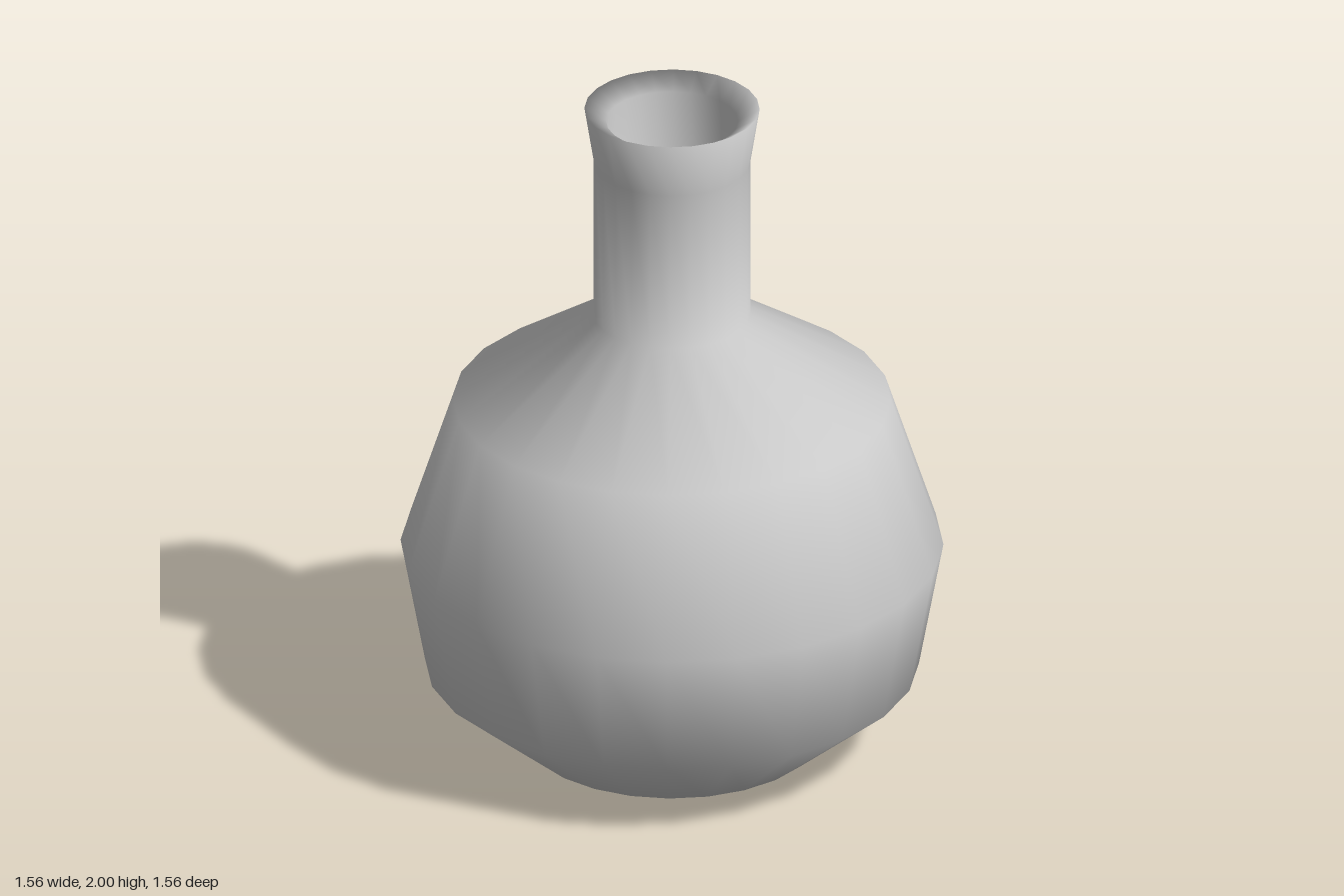
import * as THREE from 'three';

export function createModel() {
  const group = new THREE.Group();
  group.name = 'flask';
  const material = new THREE.MeshStandardMaterial({ color: 0xcccccc });

  // Revolve a profile of [radius, height] pairs with smooth normals
  const lathe = (name, profile) => {
    const points = profile.map(([r, y]) => new THREE.Vector2(r, y));
    const mesh = new THREE.Mesh(new THREE.LatheGeometry(points, 24), material);
    mesh.name = name;
    group.add(mesh);
  };

  // Closed base, faceted belly, straight neck, flared rim, hollow neck
  lathe('flaskBody', [
    [0, 0],
    [0.43, 0],
    [0.71, 0.23],
    [0.78, 0.61],
    [0.63, 1.07],
    [0.225, 1.34],
    [0.225, 1.83],
    [0.252, 2],
    [0.19, 1.96],
    [0.19, 1.35],
    [0, 1.35],
  ]);

  return group;
}
